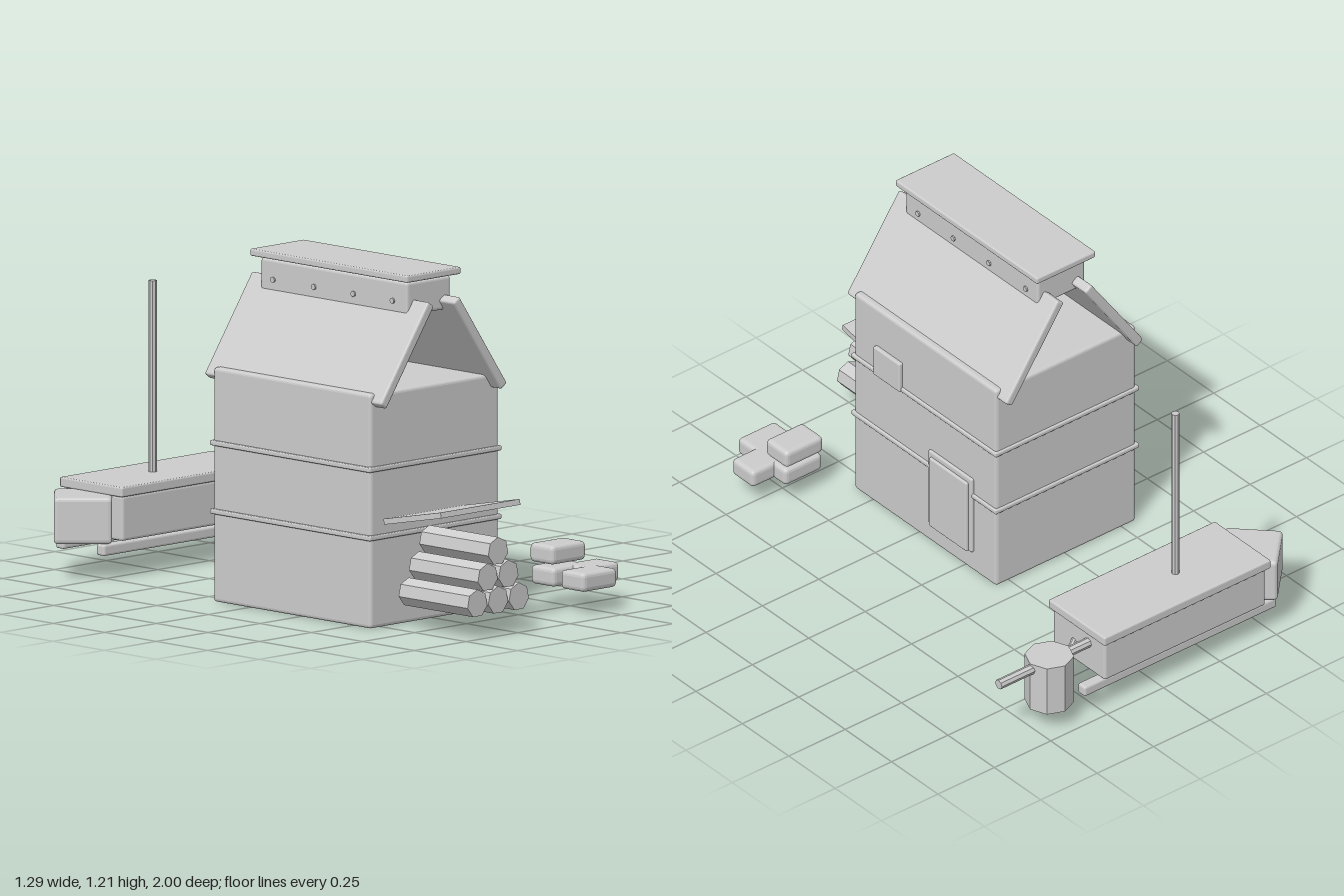
import * as THREE from 'three';
import { RoundedBoxGeometry } from 'three/addons/geometries/RoundedBoxGeometry.js';

export function createModel() {
  const model = new THREE.Group();
  model.name = 'millWithBarge';
  const grey = new THREE.MeshStandardMaterial({ color: 0xcccccc, flatShading: true });
  grey.name = 'plain grey';

  const add = (parent, name, geometry) => {
    const mesh = new THREE.Mesh(geometry, grey);
    mesh.name = name;
    parent.add(mesh);
    return mesh;
  };
  // Softened box given by its minimum and maximum on each axis
  const box = (parent, name, [x0, x1], [y0, y1], [z0, z1], bevel = 0.006) => {
    const w = x1 - x0, h = y1 - y0, d = z1 - z0;
    const r = Math.min(bevel, Math.min(w, h, d) * 0.3);
    const mesh = add(parent, name, new RoundedBoxGeometry(w, h, d, 2, r));
    mesh.position.set((x0 + x1) / 2, (y0 + y1) / 2, (z0 + z1) / 2);
    return mesh;
  };
  // Straight rod between two points
  const rod = (parent, name, a, b, radius, sides = 8) => {
    const from = new THREE.Vector3(...a), to = new THREE.Vector3(...b);
    const dir = to.clone().sub(from);
    const mesh = add(parent, name, new THREE.CylinderGeometry(radius, radius, dir.length(), sides));
    mesh.position.copy(from).add(to).multiplyScalar(0.5);
    mesh.quaternion.setFromUnitVectors(new THREE.Vector3(0, 1, 0), dir.normalize());
    return mesh;
  };
  const group = (name) => {
    const g = new THREE.Group();
    g.name = name;
    model.add(g);
    return g;
  };

  // Tall house with two string bands
  const house = group('house');
  const midX = -0.25, midZ = 0.212;
  box(house, 'walls', [-0.56, 0.06], [0, 0.815], [-0.17, 0.595], 0.012);
  for (const y of [0.315, 0.553])
    box(house, 'band', [-0.57, 0.068], [y - 0.009, y + 0.009], [-0.178, 0.603]);

  // Door and window on one side wall
  box(house, 'doorFrame', [0.04, 0.07], [0.08, 0.385], [-0.05, 0.185]);
  box(house, 'door', [0.04, 0.08], [0.08, 0.365], [-0.033, 0.17]);
  box(house, 'window', [0.04, 0.075], [0.545, 0.662], [0.333, 0.476]);

  // Open roof of two sloping slabs
  const roof = group('roof');
  for (const side of [-1, 1]) {
    const slab = add(roof, 'roofSlab', new RoundedBoxGeometry(0.402, 0.035, 0.86, 2, 0.008));
    slab.position.set(midX + side * 0.176, 0.94, midZ);
    slab.rotation.z = -side * THREE.MathUtils.degToRad(55);
  }

  // Ridge vent with cap and side pegs
  box(roof, 'ridgeVent', [-0.357, -0.147], [1.06, 1.175], [-0.143, 0.57], 0.01);
  box(roof, 'ridgeCap', [-0.382, -0.122], [1.18, 1.205], [-0.17, 0.595]);
  box(roof, 'ventNeck', [-0.345, -0.16], [1.17, 1.185], [-0.13, 0.56], 0.002);
  for (const z of [-0.08, 0.118, 0.31, 0.5])
    rod(roof, 'ventPeg', [-0.363, 1.105, z], [-0.141, 1.105, z], 0.01);

  // Sloping shelf canopy at the front
  const canopy = add(house, 'canopy', new THREE.BoxGeometry(0.382, 0.02, 0.283));
  canopy.position.set(-0.322, 0.398, 0.752);
  canopy.rotation.x = -0.2;

  // Pyramid of seven-sided logs
  const logs = group('logPile');
  const logGeometry = new THREE.CylinderGeometry(0.049, 0.049, 0.335, 7).rotateX(-Math.PI / 2);
  for (let row = 0; row < 3; row++)
    for (let i = 0; i < 3 - row; i++)
      add(logs, 'log', logGeometry)
        .position.set(-0.445 + row * 0.05 + i * 0.1, 0.125 + row * 0.085, 0.8325);

  // Stacked sacks
  const sacks = group('sacks');
  for (const [x, y, z] of [[0.228, 0.112, 0.718], [0.228, 0.112, 0.863],
    [0.322, 0.112, 0.78], [0.228, 0.188, 0.712]])
    add(sacks, 'sack', new RoundedBoxGeometry(0.165, 0.066, 0.115, 2, 0.016))
      .position.set(x, y, z);

  // Barge: hull, deck, runners, pointed bow and mast
  const barge = group('barge');
  box(barge, 'hull', [-0.465, 0.248], [0.13, 0.287], [-0.985, -0.705], 0.01);
  box(barge, 'deck', [-0.478, 0.26], [0.285, 0.32], [-0.998, -0.695]);
  for (const z of [-0.945, -0.748])
    box(barge, 'runner', [-0.53, 0.32], [0.083, 0.122], [z - 0.02, z + 0.02], 0.008);
  const bow = add(barge, 'bow', new RoundedBoxGeometry(0.2, 0.162, 0.2, 2, 0.014));
  bow.position.set(-0.514, 0.206, -0.847);
  bow.rotation.y = Math.PI / 4;
  rod(barge, 'mast', [-0.178, 0.31, -0.847], [-0.178, 0.985, -0.847], 0.014);

  // Drum on an axle at the stern, with braces
  const stern = group('sternDrum');
  rod(stern, 'drum', [0.42, 0.077, -0.895], [0.42, 0.267, -0.895], 0.085);
  rod(stern, 'axle', [0.24, 0.243, -0.895], [0.645, 0.243, -0.895], 0.018);
  rod(stern, 'brace', [0.24, 0.21, -0.815], [0.36, 0.175, -0.885], 0.012);
  return model;
}
